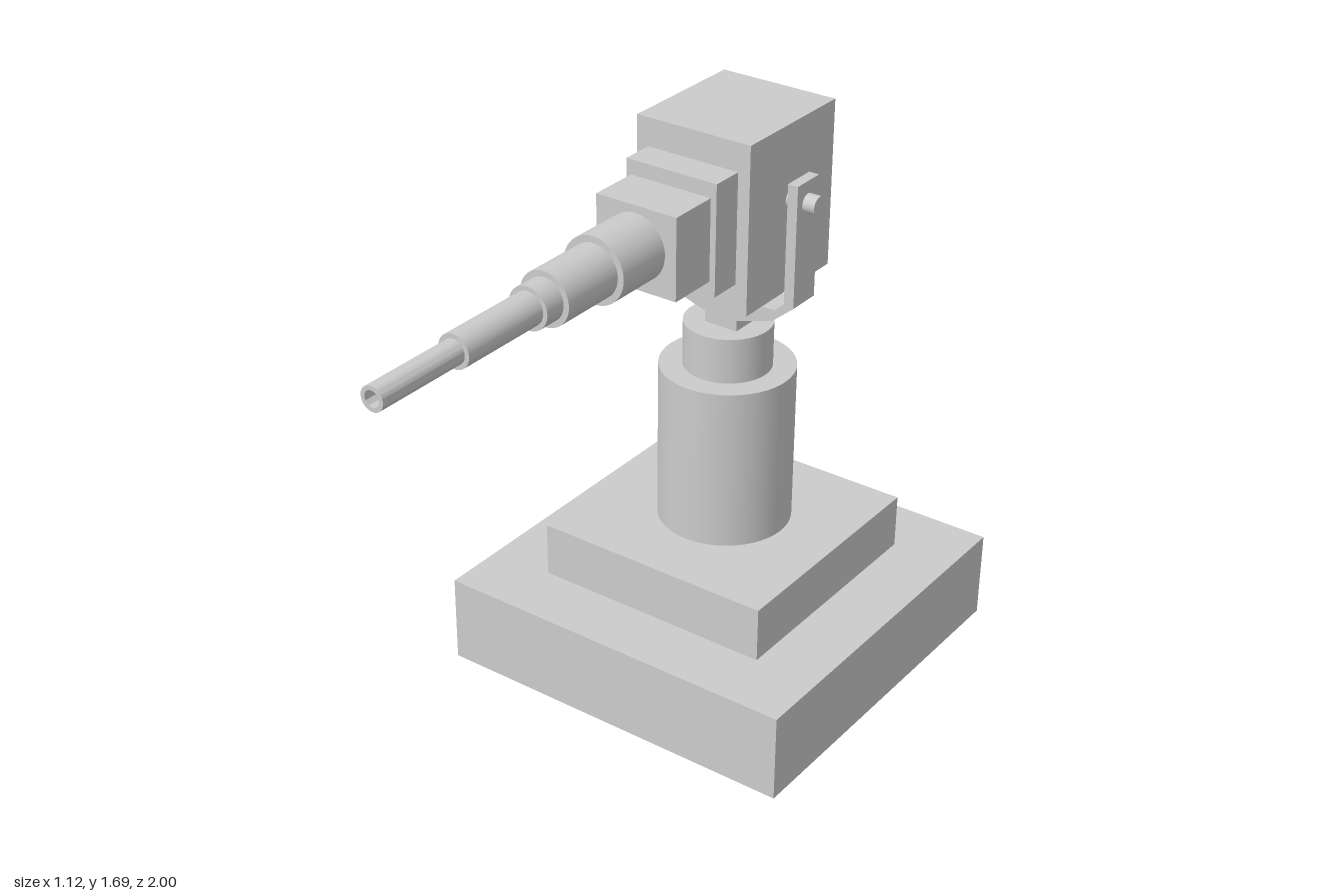
import * as THREE from 'three';
import { toCreasedNormals } from 'three/addons/utils/BufferGeometryUtils.js';

const AXIS_Z = -0.447; // vertical swivel axis
const BORE_Y = 1.449; // height of the barrel axis
const SIDES = 48;

export function createModel() {
  const group = new THREE.Group();
  const grey = new THREE.MeshStandardMaterial({ color: 0xcccccc });

  const add = (name, geometry) => {
    const mesh = new THREE.Mesh(geometry, grey);
    mesh.name = name;
    group.add(mesh);
    return mesh;
  };

  // Box given by its limits on each axis
  const block = (name, [x0, x1], [y0, y1], [z0, z1]) =>
    add(name, new THREE.BoxGeometry(x1 - x0, y1 - y0, z1 - z0))
      .position.set((x0 + x1) / 2, (y0 + y1) / 2, (z0 + z1) / 2);

  // Stepped plinth
  block('basePlinth', [-0.562, 0.562], [0, 0.266], [-1, 0.125]);
  block('upperPlinth', [-0.369, 0.367], [0.266, 0.43], [-0.807, -0.07]);

  // Column and neck
  const upright = (name, radius, y0, y1) =>
    add(name, new THREE.CylinderGeometry(radius, radius, y1 - y0, SIDES))
      .position.set(-0.006, (y0 + y1) / 2, AXIS_Z);
  upright('column', 0.196, 0.43, 0.92);
  upright('neck', 0.128, 0.92, 1.056);

  // Forked yoke: right half of the outline, mirrored to close it
  const half = [
    [0.053, 1.056], [0.053, 1.088], [0.17, 1.125], [0.235, 1.18],
    [0.235, 1.537], [0.204, 1.537], [0.204, 1.182], [0.174, 1.158],
  ];
  const outline = [...half, ...half.map(([x, y]) => [-x, y]).reverse()];
  const yokeShape = new THREE.Shape(outline.map(([x, y]) => new THREE.Vector2(x, y)));
  add('yoke', new THREE.ExtrudeGeometry(yokeShape, { depth: 0.102, bevelEnabled: false }))
    .position.set(0.002, 0, AXIS_Z - 0.051);

  // Pivot pins through the yoke arms
  for (const side of [-1, 1]) {
    const pin = add(side > 0 ? 'leftPivotPin' : 'rightPivotPin',
      new THREE.CylinderGeometry(0.027, 0.027, 0.12, 32));
    pin.rotation.z = Math.PI / 2;
    pin.position.set(0.003 + side * 0.211, 1.474, AXIS_Z);
  }

  // Housing with two stepped front plates
  block('housing', [-0.175, 0.185], [1.203, 1.69], [-0.648, -0.246]);
  block('rearFrontPlate', [-0.139, 0.148], [1.287, 1.608], [-0.246, -0.15]);
  block('frontPlate', [-0.124, 0.13], [1.328, 1.565], [-0.15, 0]);

  // Stepped barrel: radius, start and end along z
  const steps = [
    [0.095, 0, 0.175], [0.0765, 0.175, 0.373], [0.06, 0.373, 0.437], [0.047, 0.437, 0.715],
  ];
  steps.forEach(([radius, z0, z1], i) => {
    const part = add(`barrelSection${i + 1}`,
      new THREE.CylinderGeometry(radius, radius, z1 - z0, SIDES));
    part.rotation.x = Math.PI / 2;
    part.position.set(0, BORE_Y, (z0 + z1) / 2);
  });

  // Hollow muzzle
  const ring = new THREE.Shape().absarc(0, 0, 0.034, 0, Math.PI * 2);
  ring.holes.push(new THREE.Path().absarc(0, 0, 0.022, 0, Math.PI * 2, true));
  const tube = new THREE.ExtrudeGeometry(ring, { depth: 0.285, bevelEnabled: false, curveSegments: SIDES });
  add('muzzle', toCreasedNormals(tube, 0.6)).position.set(0, BORE_Y, 0.715);

  return group;
}
